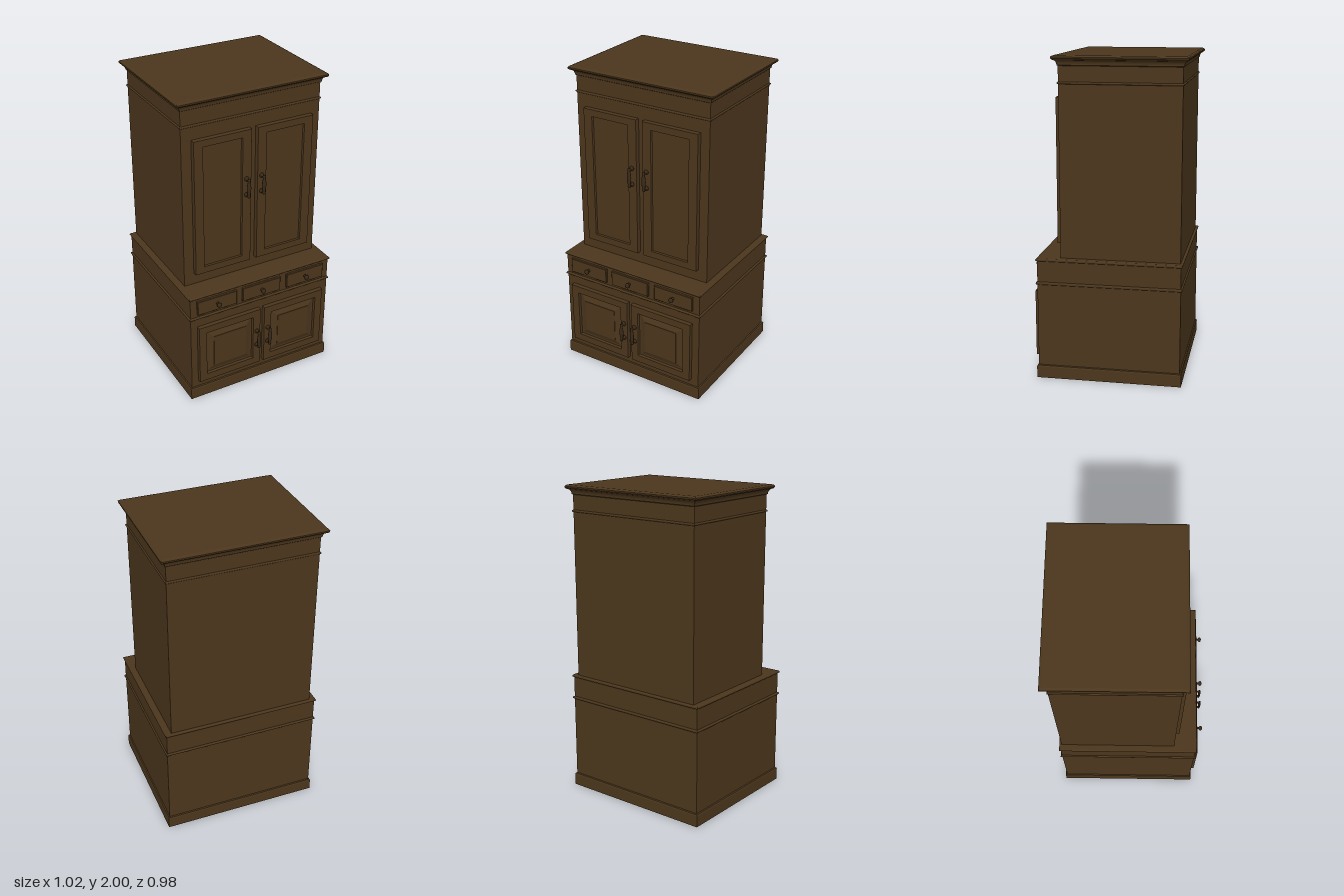
import * as THREE from 'three';

const wood = new THREE.MeshStandardMaterial({ color: 0x4b361c });
const metal = new THREE.MeshStandardMaterial({ color: 0x3a2a17 });

// Stack of rectangular rings: rect = [x0, x1, z0, z1], profile = [outset, y] pairs, capped at both ends.
function rectLoft([x0, x1, z0, z1], profile, xScale = 1) {
  const pos = [];
  const ring = ([o, y]) => [
    [x0 - o * xScale, y, z1 + o], [x1 + o * xScale, y, z1 + o],
    [x1 + o * xScale, y, z0 - o], [x0 - o * xScale, y, z0 - o],
  ];
  const quad = (a, b, c, d) => pos.push(...a, ...b, ...c, ...a, ...c, ...d);
  const rings = profile.map(ring);
  for (let i = 0; i < rings.length - 1; i++) {
    for (let k = 0; k < 4; k++) {
      const n = (k + 1) % 4;
      quad(rings[i][k], rings[i][n], rings[i + 1][n], rings[i + 1][k]);
    }
  }
  const [b, t] = [rings[0], rings[rings.length - 1]];
  quad(b[3], b[2], b[1], b[0]);
  quad(t[0], t[1], t[2], t[3]);
  const geo = new THREE.BufferGeometry();
  geo.setAttribute('position', new THREE.Float32BufferAttribute(pos, 3));
  geo.computeVertexNormals();
  return geo;
}

function add(parent, name, geo, material = wood) {
  const mesh = new THREE.Mesh(geo, material);
  mesh.name = name;
  parent.add(mesh);
  return mesh;
}

// Front panel lying in x/y, its profile rising toward +z
function addFront(parent, name, x0, x1, y0, y1, z, profile, xScale = 1) {
  const geo = rectLoft([x0, x1, -y1, -y0], profile, xScale);
  geo.rotateX(Math.PI / 2);
  add(parent, name, geo).position.z = z;
}

// Half-round bead centred on height y
function bead(y, r) {
  const profile = [];
  for (let i = 0; i <= 6; i++) {
    const a = -Math.PI / 2 + (i / 6) * Math.PI;
    profile.push([r * Math.cos(a), y + r * Math.sin(a)]);
  }
  return profile;
}

function lathe(points, segments = 20) {
  return new THREE.LatheGeometry(points.map(([r, y]) => new THREE.Vector2(r, y)), segments);
}

// Pull handle: two turned posts joined by a swelling upright grip
function addHandle(parent, name, x, y, z) {
  const handle = new THREE.Group();
  handle.name = name;
  const post = lathe([[0, 0], [0.015, 0], [0.015, 0.004], [0.008, 0.009], [0.006, 0.016],
    [0.008, 0.024], [0.011, 0.03], [0.009, 0.036], [0, 0.038]]);
  post.rotateX(Math.PI / 2);
  for (const s of [-1, 1]) add(handle, 'handlePost', post, metal).position.y = s * 0.053;
  const grip = lathe([[0, -0.066], [0.008, -0.063], [0.01, -0.054], [0.009, -0.045], [0.013, -0.025],
    [0.015, 0], [0.013, 0.025], [0.009, 0.045], [0.01, 0.054], [0.008, 0.063], [0, 0.066]]);
  grip.scale(1, 1, 0.55);
  add(handle, 'handleGrip', grip, metal).position.z = 0.032;
  handle.position.set(x, y, z);
  parent.add(handle);
}

export function createModel() {
  const model = new THREE.Group();
  model.name = 'cabinet';
  const lower = [-0.5, 0.5, -0.465, 0.42];
  const upper = [-0.467, 0.467, -0.458, 0.28];

  // Carcass
  add(model, 'plinth', rectLoft(lower, [[0.01, 0], [0.01, 0.072], [0.007, 0.08], [0, 0.084]]));
  add(model, 'lowerCabinet', rectLoft(lower, [[0, 0.08], [0, 0.765]]));
  add(model, 'upperCabinet', rectLoft(upper, [[0, 0.765], [0, 1.95]]));

  // Mouldings
  add(model, 'waistMoulding', rectLoft(lower, bead(0.615, 0.009)));
  add(model, 'counterMoulding', rectLoft(lower, bead(0.764, 0.009)));
  add(model, 'friezeMoulding', rectLoft(upper, bead(1.838, 0.007)));

  // Crown: cove flaring out to a rounded lip
  const crown = [[0, 1.938], [0.004, 1.94]];
  for (let i = 0; i <= 6; i++) {
    const a = (i / 6) * Math.PI / 2;
    crown.push([0.006 + 0.02 * (1 - Math.cos(a)), 1.942 + 0.031 * Math.sin(a)]);
  }
  crown.push([0.031, 1.976], [0.036, 1.982], [0.036, 1.99], [0.031, 1.996], [0.02, 2]);
  add(model, 'crown', rectLoft(upper, crown));

  const flatPanel = [[0, 0], [0, 0.028], [-0.001, 0.03], [-0.045, 0.03], [-0.048, 0.018]];
  const raisedPanel = [[0, 0], [0, 0.025], [-0.001, 0.027], [-0.049, 0.027], [-0.051, 0.008],
    [-0.063, 0.008], [-0.098, 0.022], [-0.099, 0.024]];

  // Doors with their handles
  for (const [x0, x1, hx, side] of [[-0.402, -0.018, -0.052, 'right'], [0.024, 0.408, 0.053, 'left']]) {
    addFront(model, side + 'UpperDoor', x0, x1, 0.85, 1.75, 0.281, flatPanel, 1.35);
    addHandle(model, side + 'UpperHandle', hx, 1.378, 0.311);
  }
  for (const [x0, x1, hx, side] of [[-0.455, -0.016, -0.042, 'right'], [0.012, 0.451, 0.039, 'left']]) {
    addFront(model, side + 'LowerDoor', x0, x1, 0.13, 0.55, 0.42, raisedPanel, 1.06);
    addHandle(model, side + 'LowerHandle', hx, 0.337, 0.447);
  }

  // Three drawers with round knobs
  const knob = lathe([[0, 0], [0.011, 0], [0.01, 0.003], [0.006, 0.007], [0.006, 0.012], [0.012, 0.016],
    [0.016, 0.022], [0.015, 0.028], [0.009, 0.033], [0, 0.035]]);
  knob.rotateX(Math.PI / 2);
  for (const x of [-0.319, -0.003, 0.318]) {
    addFront(model, 'drawer', x - 0.137, x + 0.137, 0.643, 0.74, 0.42, [[0, 0], [0, 0.012], [-0.003, 0.015]]);
    add(model, 'drawerKnob', knob, metal).position.set(x, 0.692, 0.435);
  }
  return model;
}
